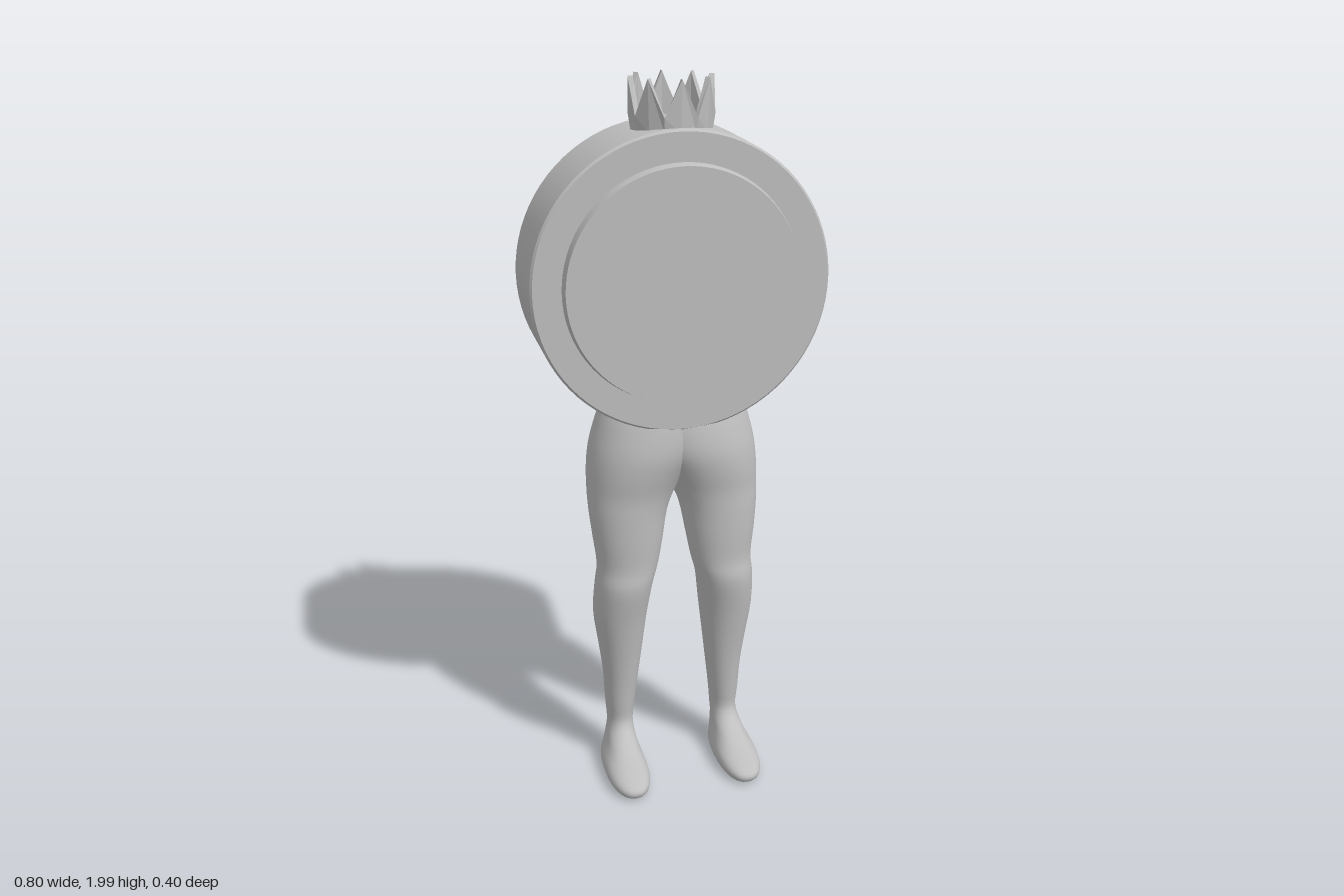
import * as THREE from 'three';
import { toCreasedNormals } from 'three/addons/utils/BufferGeometryUtils.js';

// Skin over stacked closed rings: point(i, j) returns [x, y, z]
function skin(rows, cols, point, flip = false) {
  const pos = [], index = [];
  for (let i = 0; i < rows; i++) {
    for (let j = 0; j < cols; j++) {
      pos.push(...point(i, j));
      if (i === rows - 1) continue;
      const k = (j + 1) % cols;
      const a = i * cols + j, b = i * cols + k, c = b + cols, d = a + cols;
      if (flip) index.push(a, c, d, a, b, c);
      else index.push(a, d, c, a, c, b);
    }
  }
  const g = new THREE.BufferGeometry();
  g.setAttribute('position', new THREE.Float32BufferAttribute(pos, 3));
  g.setIndex(index);
  g.computeVertexNormals();
  return g;
}

// Leg sections from sole to hip: y, outer x, inner x, front z, back z
const LEG = [
  [0.006, 0.168, 0.166, 0.04, 0.03],
  [0.008, 0.215, 0.118, 0.175, -0.095],
  [0.025, 0.229, 0.105, 0.200, -0.108],
  [0.045, 0.226, 0.107, 0.185, -0.110],
  [0.068, 0.214, 0.115, 0.110, -0.111],
  [0.095, 0.204, 0.121, 0.050, -0.111],
  [0.135, 0.197, 0.122, -0.002, -0.113],
  [0.20, 0.202, 0.116, 0.000, -0.111],
  [0.30, 0.208, 0.104, 0.012, -0.113],
  [0.40, 0.221, 0.092, 0.028, -0.120],
  [0.50, 0.234, 0.080, 0.047, -0.130],
  [0.60, 0.230, 0.066, 0.067, -0.117],
  [0.66, 0.224, 0.050, 0.062, -0.108],
  [0.74, 0.233, 0.035, 0.066, -0.122],
  [0.82, 0.241, 0.020, 0.068, -0.146],
  [0.88, 0.243, -0.005, 0.070, -0.168],
  [0.94, 0.242, -0.040, 0.080, -0.189],
  [1.00, 0.236, -0.085, 0.086, -0.198],
  [1.06, 0.222, -0.115, 0.080, -0.190],
  [1.12, 0.202, -0.130, 0.066, -0.170],
  [1.17, 0.170, -0.120, 0.040, -0.140],
  [1.18, 0.03, 0.02, -0.04, -0.05],
];

function legGeometry(side) {
  const xs = new THREE.CatmullRomCurve3(LEG.map(([y, o, n]) => new THREE.Vector3(o, y, n)), false, 'catmullrom', 0.5);
  const zs = new THREE.CatmullRomCurve3(LEG.map(([y, , , f, b]) => new THREE.Vector3(f, y, b)), false, 'catmullrom', 0.5);
  const rows = (LEG.length - 1) * 3 + 1, cols = 40;
  return skin(rows, cols, (i, j) => {
    const p = xs.getPoint(i / (rows - 1)), q = zs.getPoint(i / (rows - 1));
    const a = (j / cols) * Math.PI * 2;
    // Slightly squared ovals in the foot, plain ovals above
    const e = p.y < 0.1 ? 0.84 : 0.95;
    const oval = (v) => Math.sign(v) * Math.abs(v) ** e;
    const x = (p.x + p.z) / 2 + ((p.x - p.z) / 2) * oval(Math.cos(a));
    const z = (q.x + q.z) / 2 + ((q.x - q.z) / 2) * oval(Math.sin(a));
    return [x * side, Math.max(p.y, 0), z];
  }, side < 0);
}

// Zigzag band with eight points
function crownGeometry() {
  const g = skin(4, 16, (i, j) => {
    const top = j % 2 ? 1.905 : 2;
    const [r, y] = [[0.108, 1.865], [0.114, top], [0.100, top], [0.100, 1.865]][i];
    const a = (j / 16) * Math.PI * 2;
    return [r * Math.cos(a), y, r * Math.sin(a)];
  }).toNonIndexed();
  g.computeVertexNormals();
  return g;
}

export function createModel() {
  const model = new THREE.Group();
  const grey = new THREE.MeshStandardMaterial({ color: 0xbfbfbf });
  grey.name = 'plain grey';
  const add = (name, geometry, x = 0, y = 0, z = 0) => {
    const mesh = new THREE.Mesh(geometry, grey);
    mesh.name = name;
    mesh.position.set(x, y, z);
    model.add(mesh);
  };

  // Round body, turned about z: a bevelled drum with a raised disc on each face
  const disc = (profile) => toCreasedNormals(
    new THREE.LatheGeometry(profile.map(([r, h]) => new THREE.Vector2(r, h)), 80).rotateX(Math.PI / 2), 0.5);
  add('drumBody', disc([[0, -0.125], [0.395, -0.125], [0.401, -0.118], [0.401, 0.118], [0.395, 0.125], [0, 0.125]]), 0, 1.48, -0.05);
  add('faceDiscs', disc([[0, -0.15], [0.313, -0.15], [0.32, -0.12], [0.32, 0.12], [0.313, 0.15], [0, 0.15]]), 0, 1.48, -0.05);

  // Crown with its floor
  add('crown', crownGeometry(), 0, 0, -0.05);
  add('crownBase', toCreasedNormals(new THREE.CylinderGeometry(0.105, 0.108, 0.05, 32), 0.5), 0, 1.863, -0.05);

  // Legs, meeting at the hips
  add('leftLeg', legGeometry(1));
  add('rightLeg', legGeometry(-1));
  return model;
}
